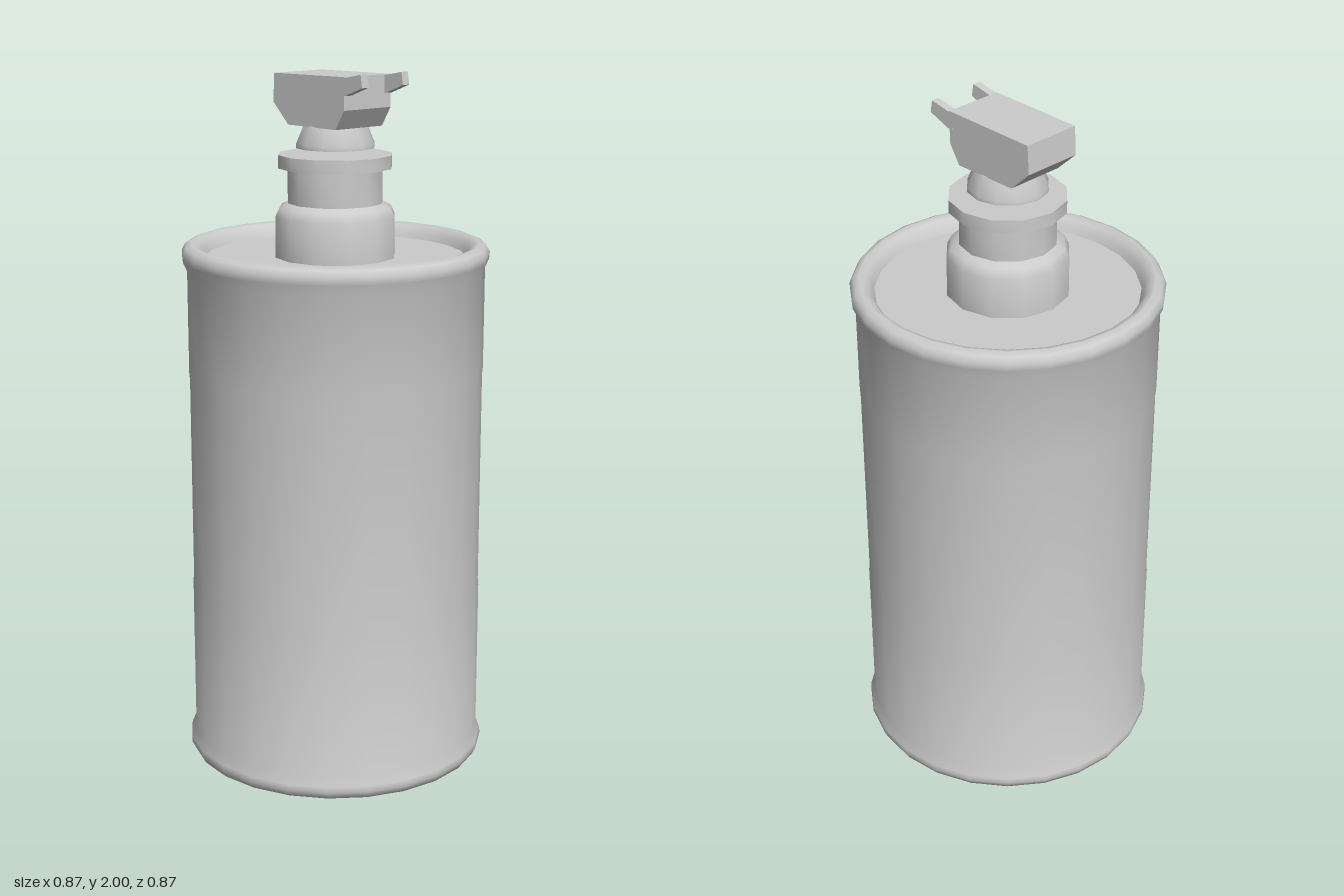
import * as THREE from 'three';
import { toCreasedNormals } from 'three/addons/utils/BufferGeometryUtils.js';

const grey = new THREE.MeshStandardMaterial({ color: 0xcccccc });

function addMesh(group, name, geometry) {
  const mesh = new THREE.Mesh(geometry, grey);
  mesh.name = name;
  group.add(mesh);
}

// Turned part from [radius, height] pairs, listed from the bottom upwards
function turned(profile, sides) {
  const points = profile.map(([r, y]) => new THREE.Vector2(r, y));
  return toCreasedNormals(new THREE.LatheGeometry(points, sides), 0.75);
}

// Side profile of [z, y] pairs, extruded across x and centred on x = centre
function sidePlate(profile, width, centre = 0) {
  const shape = new THREE.Shape(profile.map(([z, y]) => new THREE.Vector2(z, y)));
  const geometry = new THREE.ExtrudeGeometry(shape, { depth: width, bevelEnabled: false });
  geometry.rotateY(-Math.PI / 2);
  geometry.translate(centre + width / 2, 0, 0);
  return geometry;
}

export function createModel() {
  const group = new THREE.Group();
  group.name = 'canister';

  // Can with rolled rims and recessed ends
  addMesh(group, 'canBody', turned([
    [0, 0.05], [0.365, 0.05], [0.375, 0.02], [0.39, 0.004], [0.408, 0],
    [0.426, 0.008], [0.436, 0.028], [0.434, 0.045], [0.423, 0.07],
    [0.423, 0.5], [0.421, 0.52], [0.421, 1.14], [0.423, 1.16], [0.423, 1.45],
    [0.434, 1.475], [0.436, 1.495], [0.426, 1.513], [0.408, 1.521],
    [0.39, 1.515], [0.375, 1.495], [0.368, 1.48], [0, 1.48],
  ], 24));

  // Stepped neck ending in a flange
  addMesh(group, 'neck', turned([
    [0.172, 1.475], [0.172, 1.595], [0.16, 1.62], [0.136, 1.632],
    [0.136, 1.73], [0.163, 1.73], [0.163, 1.767], [0, 1.767],
  ], 12));

  // Tapered collar, set just above the flange
  addMesh(group, 'collar', turned([
    [0, 1.785], [0.112, 1.785], [0.112, 1.797], [0.09, 1.848], [0, 1.848],
  ], 12));

  // Fuse head
  addMesh(group, 'fuseHead', sidePlate([
    [-0.10, 1.846], [0.096, 1.846], [0.13, 1.9], [0.13, 1.99],
    [-0.158, 1.985], [-0.163, 1.905],
  ], 0.174));

  // Pair of forward prongs
  for (const side of [-1, 1]) {
    addMesh(group, side > 0 ? 'leftProng' : 'rightProng', sidePlate([
      [0.12, 1.94], [0.135, 1.94], [0.202, 1.965], [0.196, 2], [0.135, 1.988], [0.12, 1.988],
    ], 0.024, side * 0.0755));
  }

  return group;
}
